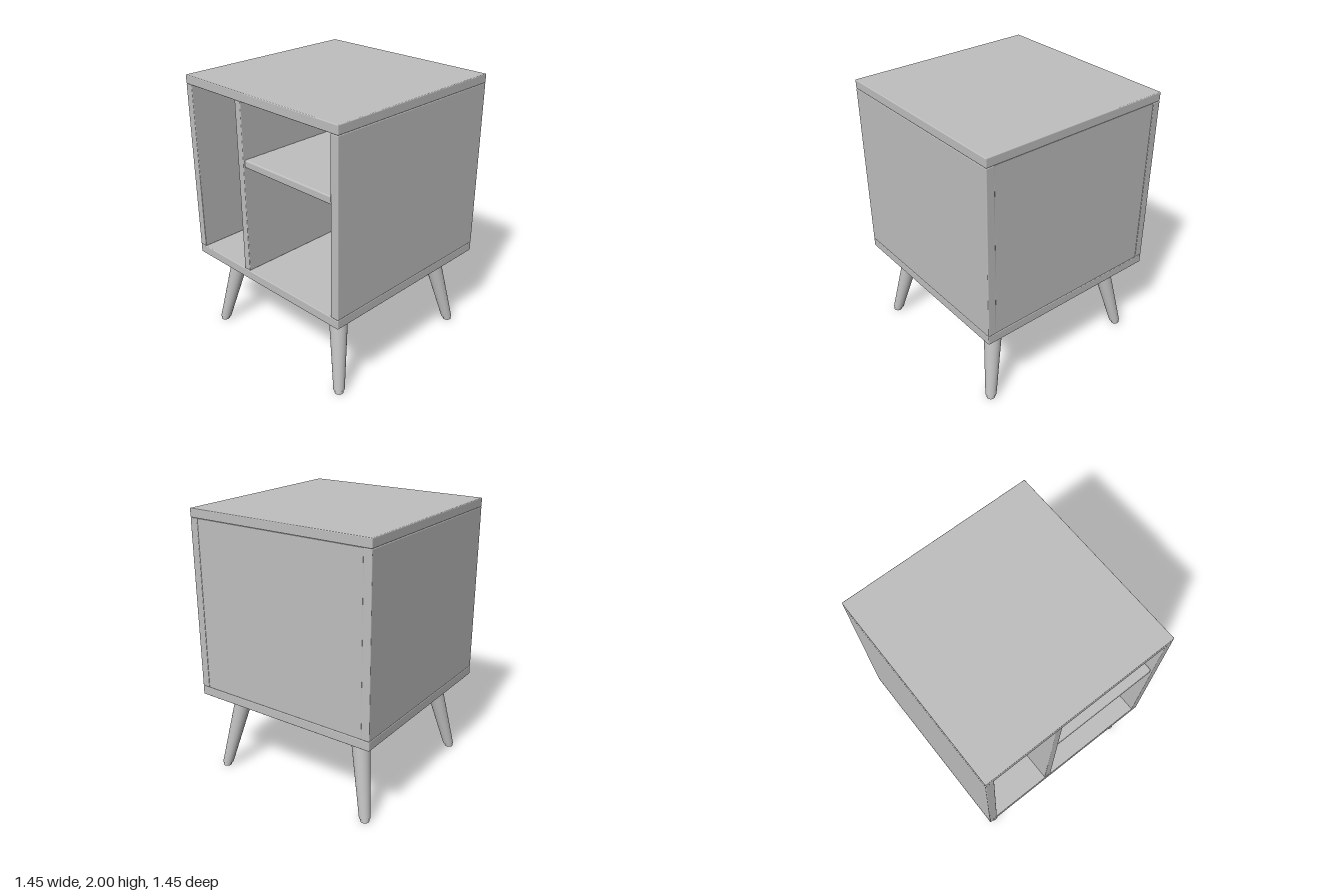
import * as THREE from 'three';
import { RoundedBoxGeometry } from 'three/addons/geometries/RoundedBoxGeometry.js';

const grey = new THREE.MeshStandardMaterial({ color: 0xbebebe });
grey.name = 'plain grey';

// Board with softened edges, given by its lower and upper limits on each axis
function board(name, [x0, x1], [y0, y1], [z0, z1], radius = 0.006) {
  const geometry = new RoundedBoxGeometry(x1 - x0, y1 - y0, z1 - z0, 2, radius);
  const mesh = new THREE.Mesh(geometry, grey);
  mesh.position.set((x0 + x1) / 2, (y0 + y1) / 2, (z0 + z1) / 2);
  mesh.name = name;
  return mesh;
}

// Round tapered section whose ends stay level while its axis leans outwards
function leaningSection(name, y0, y1, r0, r1, sx, sz) {
  const geometry = new THREE.CylinderGeometry(r1, r0, y1 - y0, 32);
  geometry.translate(0, (y0 + y1) / 2, 0);
  const p = geometry.attributes.position;
  for (let i = 0; i < p.count; i++) {
    const t = p.getY(i) / 0.62;
    p.setX(i, p.getX(i) + sx * THREE.MathUtils.lerp(0.635, 0.51, t));
    p.setZ(i, p.getZ(i) + sz * THREE.MathUtils.lerp(0.62, 0.5, t));
  }
  geometry.computeVertexNormals();
  const mesh = new THREE.Mesh(geometry, grey);
  mesh.name = name;
  return mesh;
}

export function createModel() {
  const model = new THREE.Group();
  model.name = 'bedsideCabinet';
  const half = 0.725;
  const full = [-half, half];
  const inner = [0.688, 1.936];

  // Cabinet shell
  model.add(
    board('topBoard', full, [1.936, 2], full),
    board('bottomBoard', full, [0.62, 0.688], full),
    board('leftSide', [0.662, half], inner, full),
    board('rightSide', [-half, -0.662], inner, full),
    board('backPanel', [-0.665, 0.665], inner, [-0.722, -0.67], 0.003)
  );

  // Compartments
  model.add(
    board('divider', [-0.205, -0.148], inner, [-0.675, 0.722]),
    board('shelf', [-0.148, 0.662], [1.48, 1.536], [-0.675, 0.715], 0.01)
  );

  // Four splayed legs with small foot pads
  for (const sx of [-1, 1]) {
    for (const sz of [-1, 1]) {
      const leg = new THREE.Group();
      leg.name = `${sz > 0 ? 'front' : 'back'}${sx > 0 ? 'Left' : 'Right'}Leg`;
      leg.add(
        leaningSection('taperedLeg', 0.025, 0.625, 0.04, 0.07, sx, sz),
        leaningSection('footPad', 0, 0.025, 0.031, 0.033, sx, sz)
      );
      model.add(leg);
    }
  }
  return model;
}
